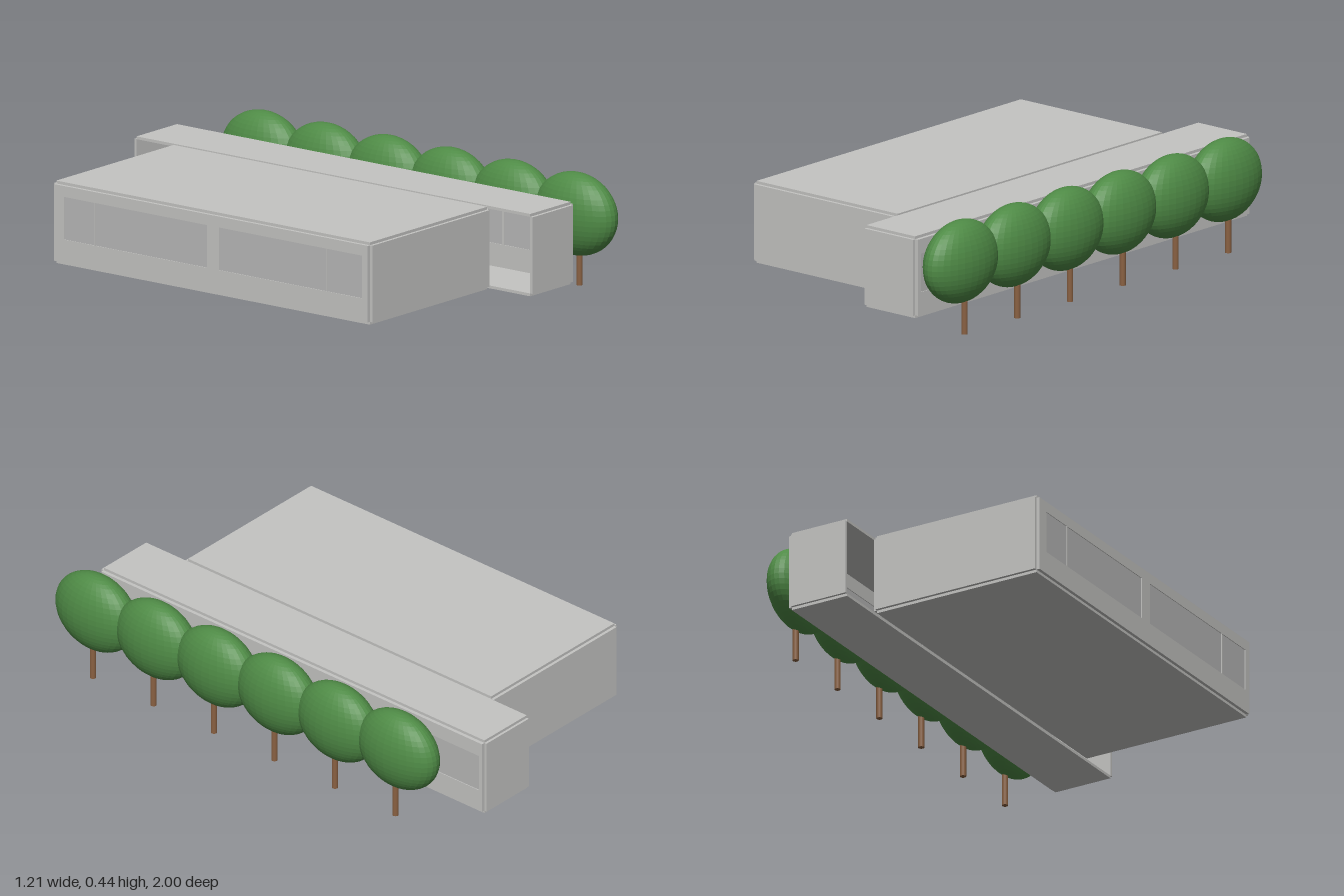
import * as THREE from 'three';

export function createModel() {
  const model = new THREE.Group();
  const mat = (name, color, extra = {}) => {
    const m = new THREE.MeshStandardMaterial({ color, ...extra });
    m.name = name;
    return m;
  };
  const concrete = mat('concrete', 0xc4c4c2);
  const glass = mat('glass', 0xb8b8b7);
  const leaves = mat('leaves', 0x4f8b46, { flatShading: true });
  const bark = mat('bark', 0x8a6142);

  // box given by its min and max on each axis
  const panel = (parent, name, [x0, x1], [y0, y1], [z0, z1], material = concrete) => {
    const mesh = new THREE.Mesh(new THREE.BoxGeometry(x1 - x0, y1 - y0, z1 - z0), material);
    mesh.position.set((x0 + x1) / 2, (y0 + y1) / 2, (z0 + z1) / 2);
    mesh.name = name;
    parent.add(mesh);
  };

  // long side wall with window openings [zStart, zEnd], each closed by a recessed pane
  const windowWall = (parent, [x0, x1], [y0, y1], [z0, z1], [w0, w1], openings) => {
    const rect = (T, a, b, c, d) => {
      const s = new T();
      s.moveTo(a, c);
      s.lineTo(b, c);
      s.lineTo(b, d);
      s.lineTo(a, d);
      s.closePath();
      return s;
    };
    const shape = rect(THREE.Shape, z0, z1, y0, y1);
    for (const [a, b] of openings) {
      shape.holes.push(rect(THREE.Path, a, b, w0, w1));
      panel(parent, 'windowPane', [x0 + 0.003, x1 - 0.003], [w0, w1], [a, b], glass);
    }
    const geo = new THREE.ExtrudeGeometry(shape, { depth: x1 - x0, bevelEnabled: false });
    geo.rotateY(-Math.PI / 2).translate(x1, 0, 0);
    const wall = new THREE.Mesh(geo, concrete);
    wall.name = 'windowWall';
    parent.add(wall);
  };

  const floorY = [0.05, 0.061];
  const wallY = [0.061, 0.357];
  const roofY = [0.357, 0.368];

  // wide main hall
  const hall = new THREE.Group();
  hall.name = 'mainHall';
  const hx = [-0.592, 0.108], hz = [-0.8, 0.708];
  panel(hall, 'floor', hx, floorY, hz);
  panel(hall, 'roof', hx, roofY, hz);
  panel(hall, 'backWall', hx, wallY, [-0.812, -0.8]);
  panel(hall, 'frontWall', hx, wallY, [0.708, 0.72]);
  panel(hall, 'innerWall', [0.108, 0.12], wallY, hz);
  windowWall(hall, [-0.605, -0.592], wallY, hz, [0.15, 0.315],
    [[-0.75, -0.605], [-0.6, -0.065], [-0.005, 0.51], [0.515, 0.68]]);
  model.add(hall);

  // long narrow gallery, open towards the hall
  const gallery = new THREE.Group();
  gallery.name = 'gallery';
  const gx = [0.123, 0.364], gz = [-0.99, 0.903];
  panel(gallery, 'floor', gx, floorY, gz);
  panel(gallery, 'roof', gx, roofY, gz);
  panel(gallery, 'backWall', gx, wallY, [-1, -0.99]);
  panel(gallery, 'frontWall', gx, wallY, [0.903, 0.915]);
  const bays = [];
  for (let i = 0; i < 6; i++) bays.push([-0.975 + i * 0.312, -0.975 + i * 0.312 + 0.3]);
  windowWall(gallery, [0.364, 0.378], wallY, gz, [0.15, 0.3], bays);
  model.add(gallery);

  // row of trees with oval crowns
  const crownGeo = new THREE.SphereGeometry(1, 32, 24).scale(0.093, 0.16, 0.188);
  const trunkGeo = new THREE.CylinderGeometry(0.012, 0.012, 0.16, 12).translate(0, 0.08, 0);
  for (let i = 0; i < 6; i++) {
    const tree = new THREE.Group();
    tree.name = 'tree';
    const crown = new THREE.Mesh(crownGeo, leaves);
    crown.name = 'crown';
    crown.position.set(0.51, 0.28, 0);
    const trunk = new THREE.Mesh(trunkGeo, bark);
    trunk.name = 'trunk';
    trunk.position.x = 0.53;
    tree.add(crown, trunk);
    tree.position.z = 0.812 - i * 0.301;
    model.add(tree);
  }
  return model;
}
